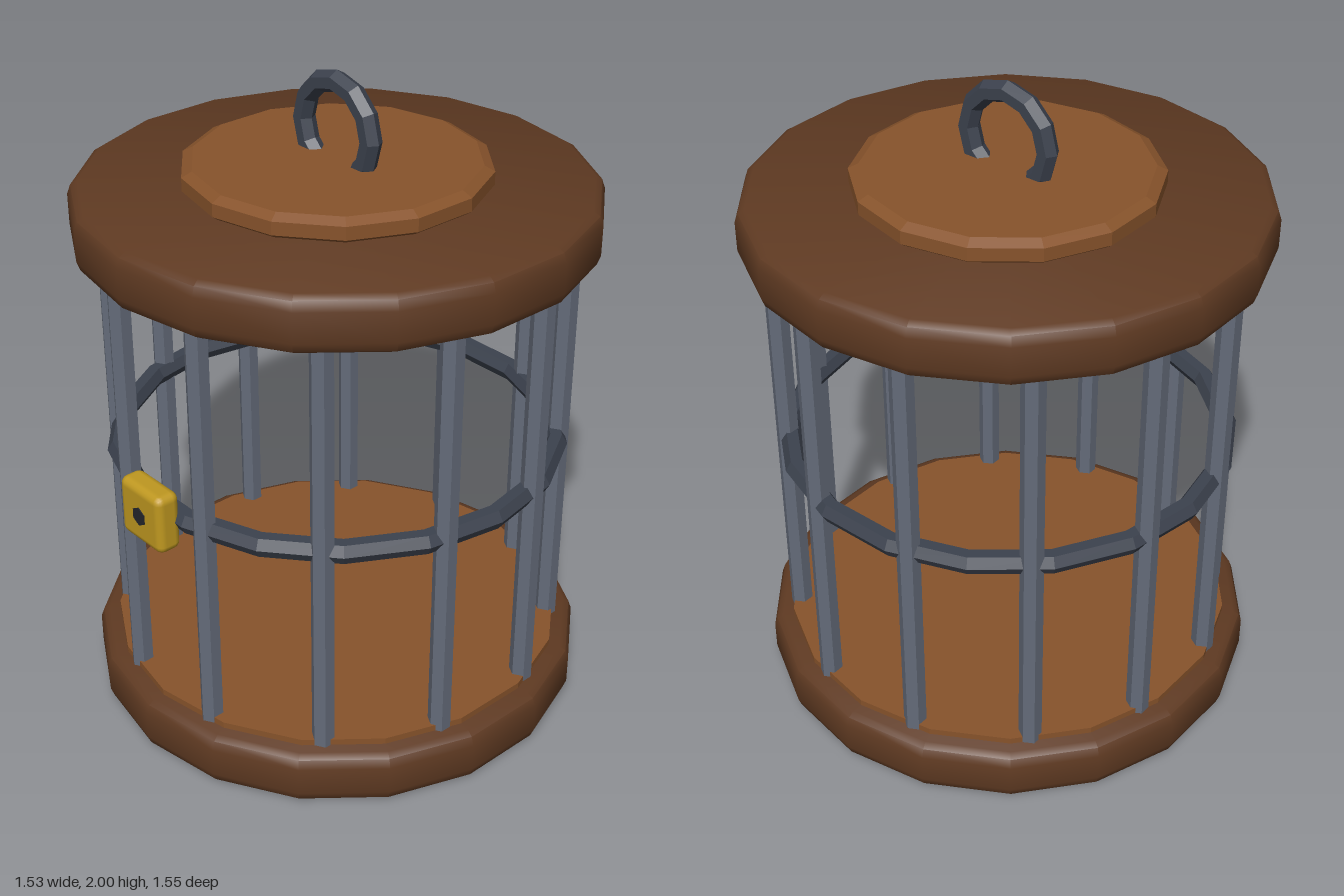
import * as THREE from 'three';
import { toCreasedNormals } from 'three/addons/utils/BufferGeometryUtils.js';
import { RoundedBoxGeometry } from 'three/addons/geometries/RoundedBoxGeometry.js';

const material = (color, flatShading = false) => new THREE.MeshStandardMaterial({ color, flatShading });
const darkWood = material(0x5f3a22);
const lightWood = material(0x87532b, true);
const steel = material(0x646b79, true);
const iron = material(0x3c424e, true);
const brass = material(0xbf9820);
const black = material(0x23252b, true);

export function createModel() {
  const model = new THREE.Group();
  model.name = 'cage';

  const add = (name, geometry, mat, x = 0, y = 0, z = 0) => {
    const mesh = new THREE.Mesh(geometry, mat);
    mesh.name = name;
    mesh.position.set(x, y, z);
    model.add(mesh);
    return mesh;
  };
  const lathe = (points, sides) =>
    new THREE.LatheGeometry(points.map(([r, y]) => new THREE.Vector2(r, y)), sides);

  // Base and lid: matching thick discs with softened rims
  const disc = toCreasedNormals(lathe([
    [0, 0], [0.745, 0], [0.765, 0.012], [0.775, 0.04],
    [0.775, 0.13], [0.765, 0.158], [0.745, 0.17], [0, 0.17],
  ], 18), 0.7);
  add('base', disc, darkWood);
  add('lid', disc, darkWood, 0, 1.505);

  // Inner floor and the bevelled cap on the lid
  add('floor', new THREE.CylinderGeometry(0.71, 0.71, 0.04, 18), lightWood, 0, 0.17);
  add('lidCap', lathe([
    [0, 1.66], [0.43, 1.67], [0.453, 1.687], [0.453, 1.727], [0.422, 1.743], [0, 1.743],
  ], 14), lightWood);

  // Twelve upright hexagonal bars
  const barGeometry = new THREE.CylinderGeometry(0.035, 0.035, 1.38, 6);
  for (let i = 0; i < 12; i++) {
    const a = THREE.MathUtils.degToRad(15 + i * 30);
    add('bar' + (i + 1), barGeometry, steel, 0.68 * Math.sin(a), 0.85, 0.68 * Math.cos(a));
  }

  // Hoop around the middle of the bars
  const hoop = add('hoop', new THREE.TorusGeometry(0.675, 0.035, 6, 18), iron, 0, 0.845);
  hoop.rotation.x = Math.PI / 2;

  // Hanging ring, sunk into the cap
  add('hangingRing', new THREE.TorusGeometry(0.142, 0.033, 6, 12), iron, 0, 1.825);

  // Lock plate with its keyhole
  add('lock', new RoundedBoxGeometry(0.19, 0.19, 0.08, 2, 0.025), brass, 0, 0.845, 0.715);
  const keyhole = add('keyhole', new THREE.CylinderGeometry(0.03, 0.03, 0.02, 6), black, 0, 0.845, 0.748);
  keyhole.rotation.x = Math.PI / 2;

  return model;
}
